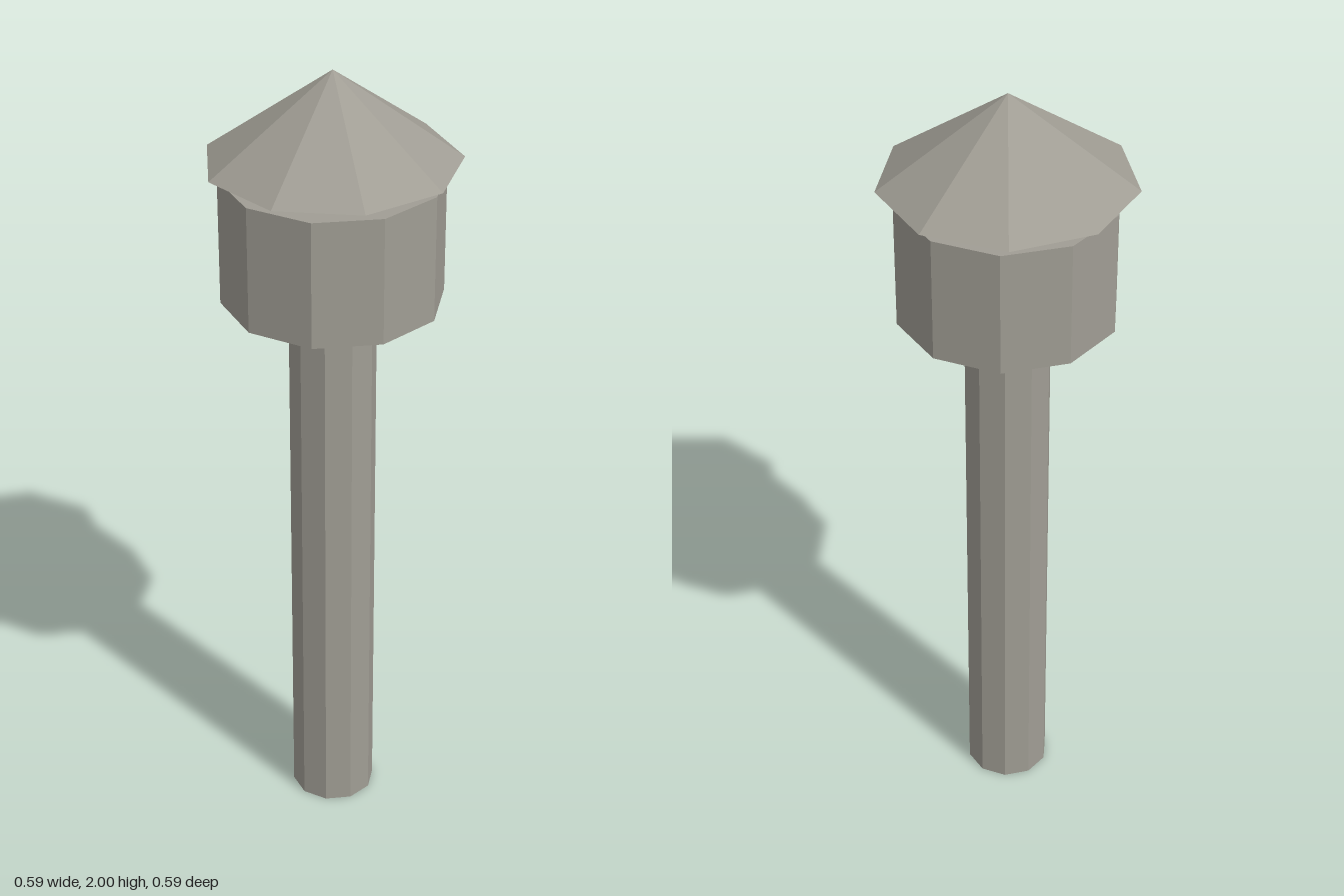
import * as THREE from 'three';

export function createModel() {
  const group = new THREE.Group();
  const stone = new THREE.MeshStandardMaterial({ color: 0xa09d94, flatShading: true });
  stone.name = 'warm grey';

  // Faceted prism or cone standing between two heights, with one corner towards +x
  function addPart(name, topRadius, bottomRadius, y0, y1, sides) {
    const geometry = new THREE.CylinderGeometry(
      topRadius, bottomRadius, y1 - y0, sides, 1, false, Math.PI / 2);
    const mesh = new THREE.Mesh(geometry, stone);
    mesh.name = name;
    mesh.position.set(-0.01, (y0 + y1) / 2, 0);
    group.add(mesh);
  }

  addPart('post', 0.105, 0.105, 0, 1.436, 10);
  addPart('head', 0.265, 0.265, 1.436, 1.748, 10);
  // The roof floats just above the head
  addPart('roof', 0, 0.302, 1.782, 2, 9);

  return group;
}
